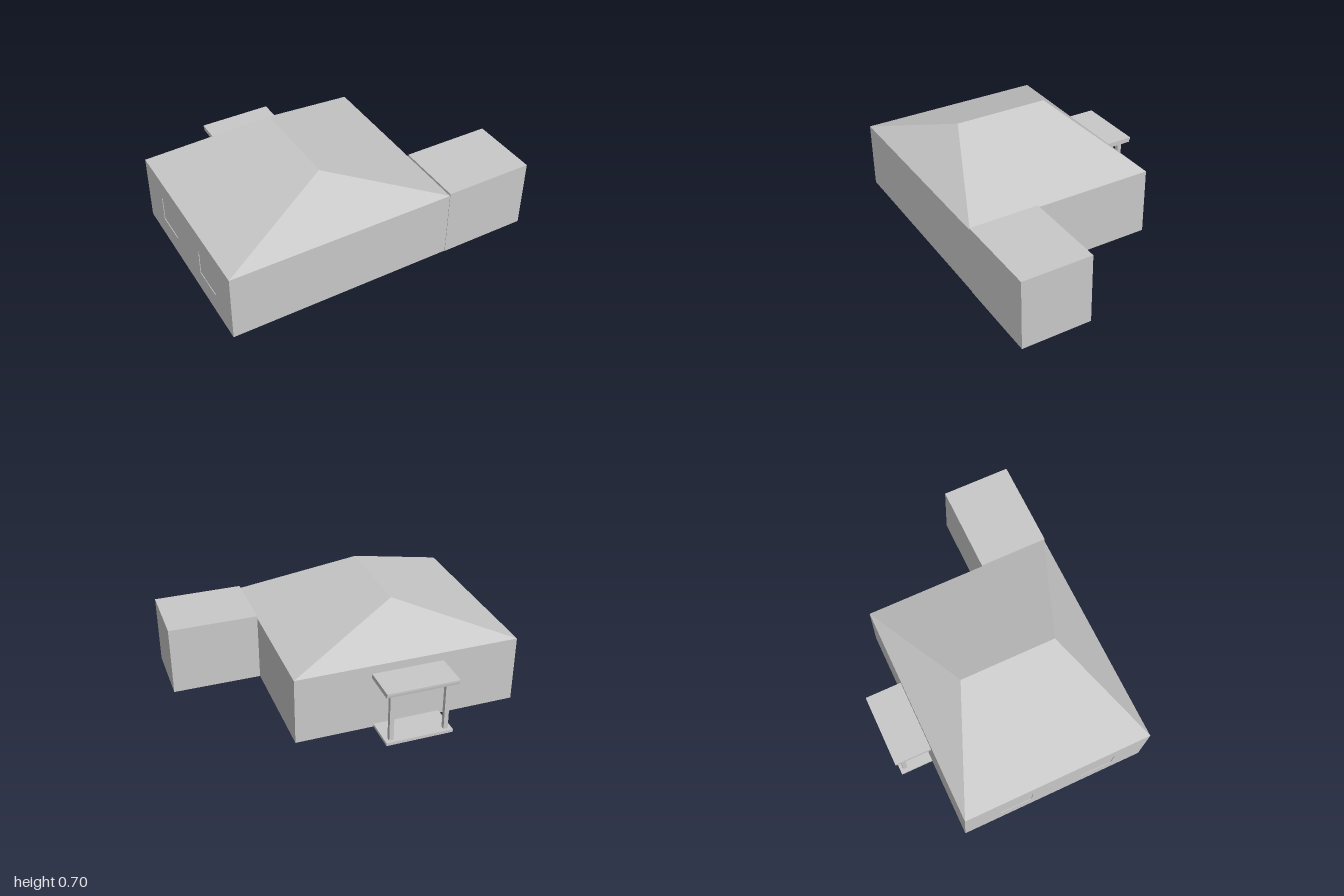
import * as THREE from 'three';

export function createModel() {
  const group = new THREE.Group();
  const grey = new THREE.MeshStandardMaterial({ color: 0xc8c8c8 });
  grey.name = 'plain grey';

  const add = (name, geometry) => {
    const mesh = new THREE.Mesh(geometry, grey);
    mesh.name = name;
    group.add(mesh);
    return mesh;
  };
  // Box given by its minimum and maximum corners
  const block = (name, [x0, y0, z0], [x1, y1, z1]) => {
    const mesh = add(name, new THREE.BoxGeometry(x1 - x0, y1 - y0, z1 - z0));
    mesh.position.set((x0 + x1) / 2, (y0 + y1) / 2, (z0 + z1) / 2);
    return mesh;
  };

  const L = -1, R = 0.43, B = -0.5, F = 0.72, eave = 0.435;
  const skin = 0.004;

  // Main house and side annex
  block('houseBody', [L + skin, 0, B], [R, eave, F]);
  block('annex', [R, 0, 0.277], [1, 0.45, 0.723]);

  // Outer wall skin with two shallow window recesses
  const rect = (path, z0, y0, z1, y1) =>
    path.moveTo(z0, y0).lineTo(z1, y0).lineTo(z1, y1).lineTo(z0, y1).closePath();
  const wall = rect(new THREE.Shape(), B, 0, F, eave);
  for (const z of [-0.26, 0.29]) {
    wall.holes.push(rect(new THREE.Path(), z, 0.135, z + 0.21, 0.3));
  }
  const wallGeometry = new THREE.ExtrudeGeometry(wall, { depth: skin, bevelEnabled: false });
  wallGeometry.rotateY(-Math.PI / 2);
  add('windowWall', wallGeometry).position.x = L + skin;

  // Hipped roof
  const a = [L, eave, F], b = [R, eave, F], c = [R, eave, B], d = [L, eave, B];
  const p = [-0.283, 0.697, 0.417], q = [-0.283, 0.697, -0.197];
  const faces = [a, b, p, b, c, q, b, q, p, c, d, q, d, a, p, d, p, q];
  const roof = new THREE.BufferGeometry();
  roof.setAttribute('position', new THREE.Float32BufferAttribute(faces.flat(), 3));
  roof.computeVertexNormals();
  add('hippedRoof', roof);

  // Back porch: slab, posts and a canopy whose fascia leans out
  block('porchSlab', [-0.495, 0, -0.71], [-0.065, 0.02, B]);
  for (const x of [-0.47, -0.118]) {
    block('porchPost', [x, 0.02, -0.69], [x + 0.028, 0.35, -0.662]);
  }
  const canopy = new THREE.Shape();
  canopy.moveTo(-B, 0.35).lineTo(0.725, 0.35).lineTo(0.728, 0.368)
    .lineTo(0.733, 0.368).lineTo(0.733, 0.381).lineTo(-B, 0.381).closePath();
  const canopyGeometry = new THREE.ExtrudeGeometry(canopy, { depth: 0.46, bevelEnabled: false });
  canopyGeometry.rotateY(Math.PI / 2);
  add('porchCanopy', canopyGeometry).position.x = -0.51;

  return group;
}
